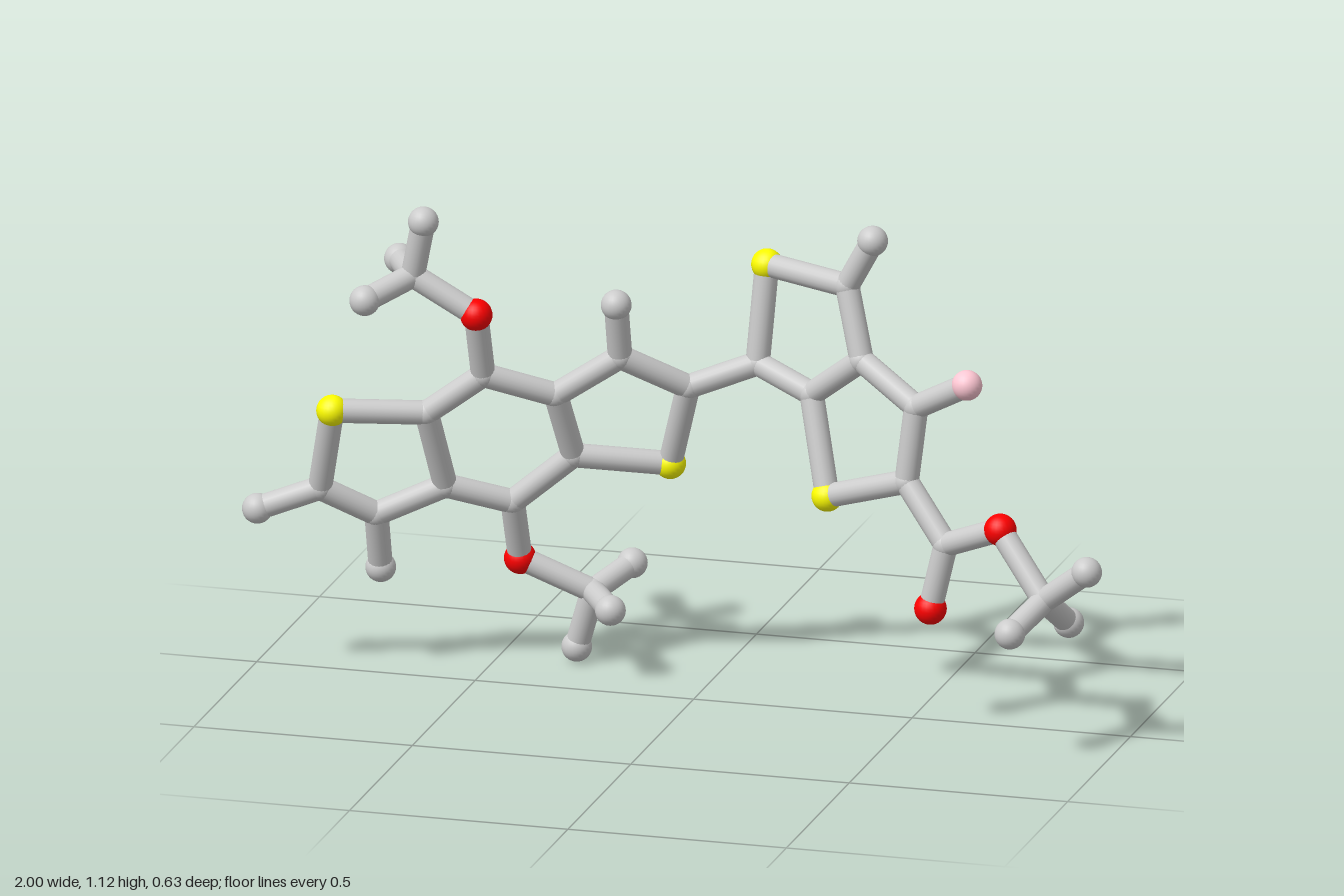
import * as THREE from 'three';

const GREY = 0xcccccc, RED = 0xff0000, YELLOW = 0xffff00, PINK = 0xffc8d4;

// Atom kinds: label, ball radius, colour
const KINDS = {
  C: ['carbon', 0.029, GREY],
  H: ['hydrogen', 0.034, GREY],
  O: ['oxygen', 0.036, RED],
  S: ['sulfur', 0.035, YELLOW],
  F: ['fluorine', 0.034, PINK],
};
const BOND_RADIUS = 0.027;

// Depth of the flat three-ring core, which lies in one tilted plane
const coreZ = (x, y) => -0.0225 - 0.36 * (x + 0.449) + 0.385 * (y - 0.5615);

// Each atom: id (first letter is its kind), x, y, z (z left out = on the core plane)
const ATOMS = [
  // three-ring core
  ['S1', -0.79, 0.64], ['C2', -0.835, 0.44], ['C3', -0.725, 0.37],
  ['C4', -0.575, 0.44], ['C5', -0.595, 0.63], ['C6', -0.44, 0.395],
  ['C7', -0.468, 0.725], ['C8', -0.323, 0.67], ['C9', -0.302, 0.512],
  ['C10', -0.18, 0.765], ['C11', -0.047, 0.684], ['S2', -0.104, 0.486],
  ['H1', -0.97, 0.39], ['H2', -0.73, 0.232], ['H3', -0.178, 0.896, -0.003],
  // upper methoxy arm
  ['O1', -0.468, 0.88, 0.103], ['C12', -0.61, 0.962, 0.113],
  ['H4', -0.58, 1.094, 0.134], ['H5', -0.693, 0.925, 0.208], ['H6', -0.675, 0.96, -0.006],
  // lower methoxy arm
  ['O2', -0.44, 0.247, -0.15], ['C13', -0.283, 0.175, -0.182],
  ['H7', -0.325, 0.038, -0.2], ['H8', -0.21, 0.17, -0.068], ['H9', -0.222, 0.214, -0.284],
  // two-ring unit
  ['C14', 0.1, 0.738, -0.162], ['S3', 0.115, 0.961, -0.184], ['C15', 0.323, 0.955, -0.1],
  ['H10', 0.385, 1.067, -0.086], ['C16', 0.366, 0.797, -0.065], ['C17', 0.238, 0.695, -0.112],
  ['S4', 0.29, 0.481, -0.055], ['C18', 0.49, 0.55, 0.008], ['C19', 0.51, 0.722, 0.002],
  ['F1', 0.638, 0.795, 0.043],
  // ester arm
  ['C20', 0.595, 0.43, 0.062], ['O3', 0.56, 0.28, 0.062], ['O4', 0.735, 0.492, 0.115],
  ['C21', 0.853, 0.358, 0.178], ['H11', 0.96, 0.442, 0.21],
  ['H12', 0.805, 0.308, 0.282], ['H13', 0.882, 0.281, 0.081],
];

// Chains of bonded atoms
const CHAINS = [
  'S1 C2 C3 C4 C5 S1', 'C4 C6 C9 C8 C7 C5', 'C8 C10 C11 S2 C9',
  'C2 H1', 'C3 H2', 'C10 H3',
  'C7 O1 C12 H4', 'H5 C12 H6', 'C6 O2 C13 H7', 'H8 C13 H9',
  'C11 C14 S3 C15 C16 C17 C14', 'C17 S4 C18 C19 C16', 'C15 H10', 'C19 F1',
  'C18 C20 O3', 'C20 O4 C21 H11', 'H12 C21 H13',
];

export function createModel() {
  const model = new THREE.Group();
  model.name = 'moleculeModel';
  const atoms = new THREE.Group();
  atoms.name = 'atoms';
  const bonds = new THREE.Group();
  bonds.name = 'bonds';
  model.add(atoms, bonds);

  // Balls
  const ball = new THREE.SphereGeometry(1, 24, 16);
  const materials = {}, place = {};
  for (const [id, x, y, z = coreZ(x, y)] of ATOMS) {
    const [label, radius, color] = KINDS[id[0]];
    materials[color] ??= new THREE.MeshStandardMaterial({ color });
    const mesh = new THREE.Mesh(ball, materials[color]);
    mesh.name = label + 'Atom' + id.slice(1);
    mesh.position.set(x, y, z);
    mesh.scale.setScalar(radius);
    place[id] = mesh.position;
    atoms.add(mesh);
  }

  // Rods between neighbouring atoms
  const rod = new THREE.CylinderGeometry(BOND_RADIUS, BOND_RADIUS, 1, 20, 1, true);
  const up = new THREE.Vector3(0, 1, 0);
  for (const chain of CHAINS) {
    const ids = chain.split(' ');
    for (let i = 1; i < ids.length; i++) {
      const a = place[ids[i - 1]], b = place[ids[i]];
      const span = b.clone().sub(a);
      const mesh = new THREE.Mesh(rod, materials[GREY]);
      mesh.name = 'bond' + ids[i - 1] + 'to' + ids[i];
      mesh.position.copy(a).lerp(b, 0.5);
      mesh.scale.y = span.length();
      mesh.quaternion.setFromUnitVectors(up, span.normalize());
      bonds.add(mesh);
    }
  }
  return model;
}
